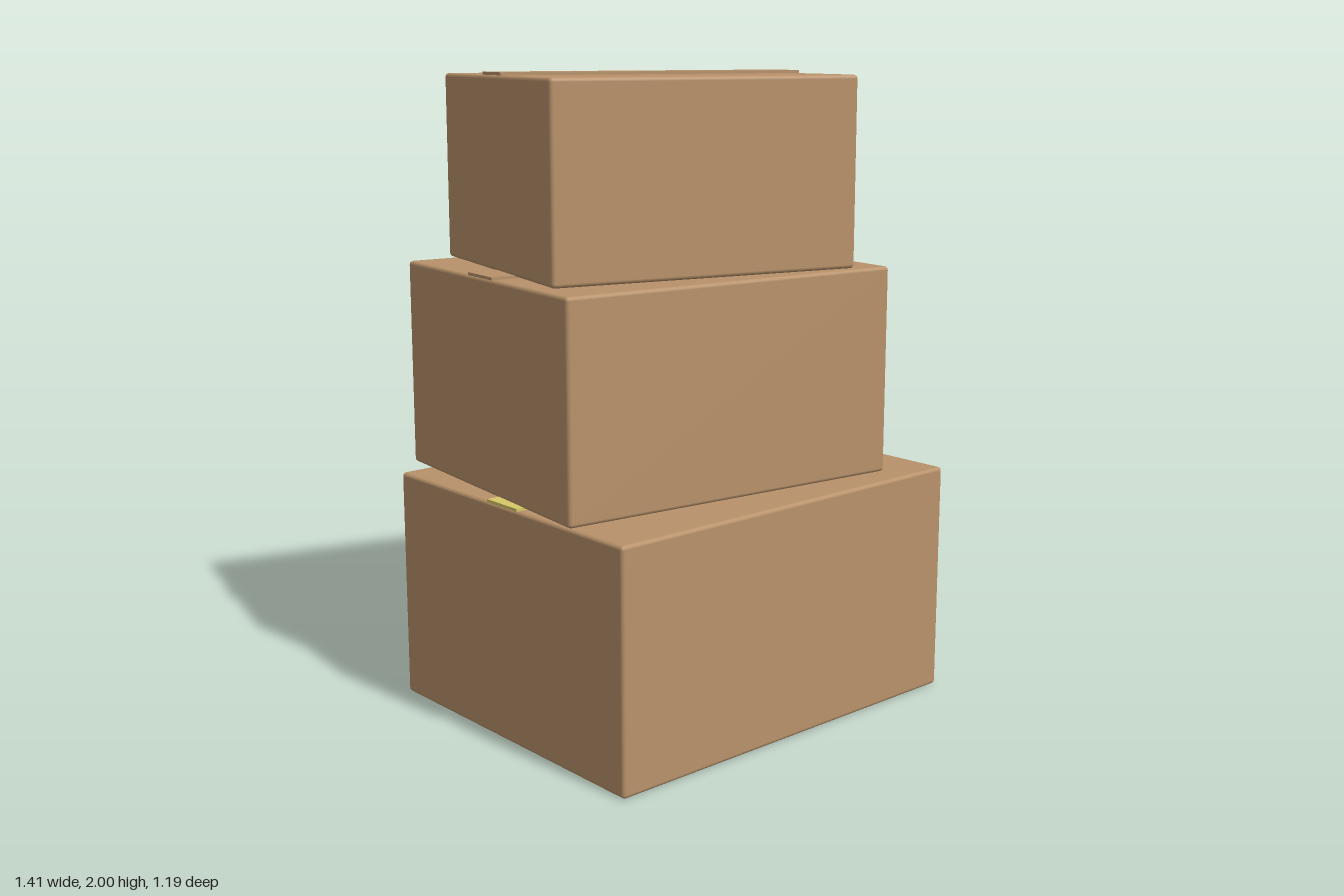
import * as THREE from 'three';
import { RoundedBoxGeometry } from 'three/addons/geometries/RoundedBoxGeometry.js';

export function createModel() {
  const cardboard = new THREE.MeshStandardMaterial({ color: 0xb8926a });
  cardboard.name = 'cardboard';
  const yellowTape = new THREE.MeshStandardMaterial({ color: 0xd8c868 });
  yellowTape.name = 'yellow tape';

  const model = new THREE.Group();
  model.name = 'boxStack';

  // Each carton: width, depth, bottom, top, centre x and z, turn, tape material
  const cartons = [
    ['bottom', 1.348, 1.102, 0, 0.74, 0, 0, 0.064, yellowTape],
    ['middle', 1.172, 0.977, 0.745, 1.403, -0.053, -0.075, -0.056, cardboard],
    ['top', 1.003, 0.856, 1.408, 1.991, -0.055, -0.07, -0.19, cardboard],
  ];

  for (const [name, w, d, y0, y1, x, z, turn, tapeMaterial] of cartons) {
    const carton = new THREE.Group();
    carton.name = name + 'Carton';
    carton.position.set(x, y0, z);
    carton.rotation.y = turn;

    // Carton body with slightly softened edges
    const h = y1 - y0;
    const body = new THREE.Mesh(new RoundedBoxGeometry(w, h, d, 2, 0.012), cardboard);
    body.name = name + 'Body';
    body.position.y = h / 2;

    // Sealing tape along the lid, just past both ends
    const tape = new THREE.Mesh(new THREE.BoxGeometry(w + 0.01, 0.009, 0.147), tapeMaterial);
    tape.name = name + 'Tape';
    tape.position.y = h + 0.0045;

    carton.add(body, tape);
    model.add(carton);
  }
  return model;
}
